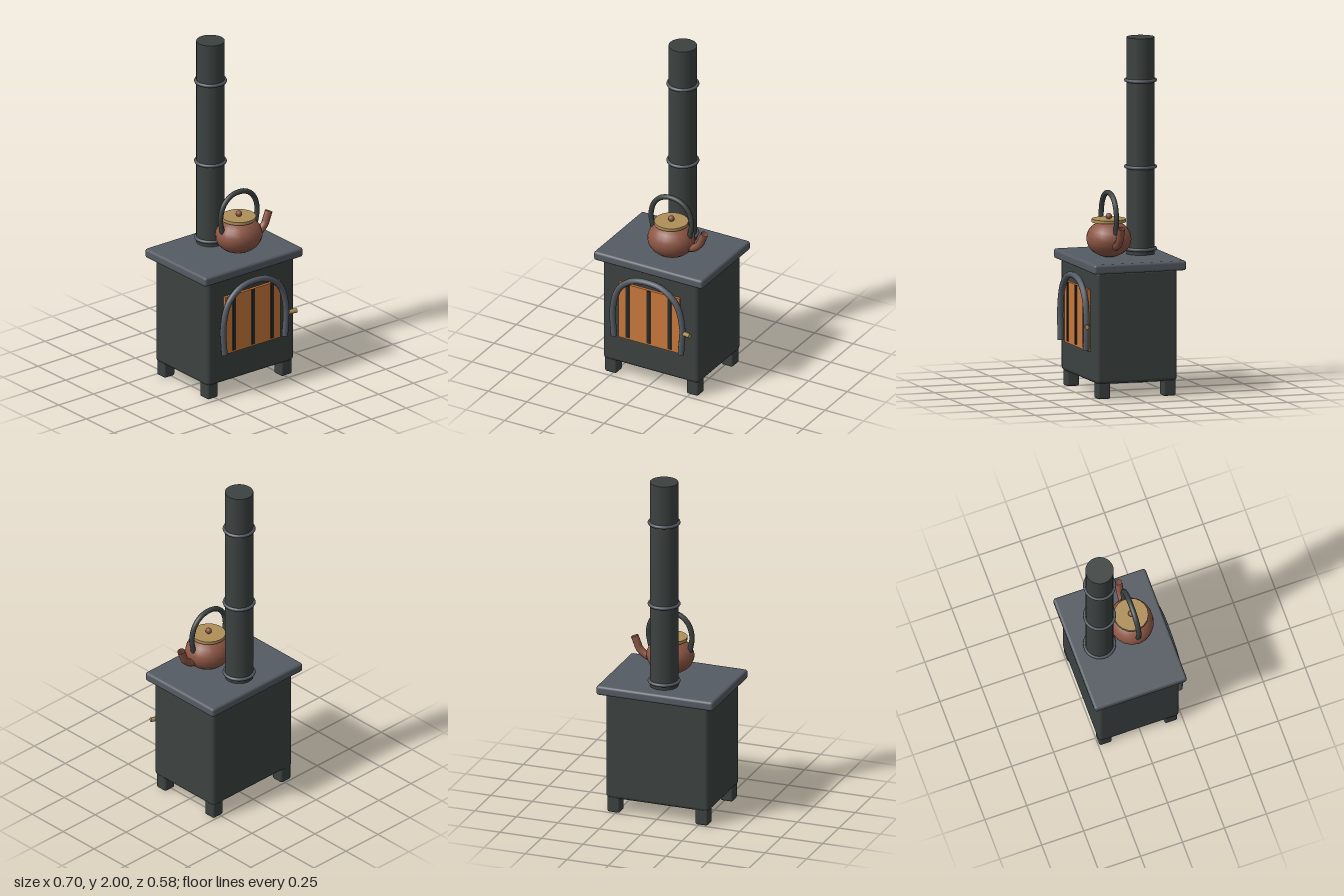
import * as THREE from 'three';
import { RoundedBoxGeometry } from 'three/addons/geometries/RoundedBoxGeometry.js';

const mat = (name, color, side = THREE.FrontSide) => {
  const m = new THREE.MeshStandardMaterial({ color, side });
  m.name = name;
  return m;
};

export function createModel() {
  const iron = mat('dark iron', 0x3c4241);
  const steel = mat('grey steel', 0x555b63);
  const black = mat('black bars', 0x262b2a);
  const ember = mat('ember orange', 0xc8783c);
  const brass = mat('brass', 0xae8f58);
  const copper = mat('copper', 0x8c5645, THREE.DoubleSide);

  const model = new THREE.Group();
  model.name = 'stoveWithKettle';
  const add = (parent, name, geometry, material, x = 0, y = 0, z = 0) => {
    const mesh = new THREE.Mesh(geometry, material);
    mesh.name = name;
    mesh.position.set(x, y, z);
    parent.add(mesh);
    return mesh;
  };
  const group = (name, x = 0, y = 0, z = 0) => {
    const g = new THREE.Group();
    g.name = name;
    g.position.set(x, y, z);
    model.add(g);
    return g;
  };
  const curve = (pts) => new THREE.CatmullRomCurve3(pts.map(([x, y]) => new THREE.Vector3(x, y, 0)));

  // A round bar along a path, closed with flat discs
  const bar = (parent, name, pts, radius, material, z = 0) => {
    const path = curve(pts);
    add(parent, name, new THREE.TubeGeometry(path, 36, radius, 10), material, 0, 0, z);
    for (const t of [0, 1]) {
      const p = path.getPointAt(t);
      const dir = path.getTangentAt(t).multiplyScalar(t ? 1 : -1);
      const cap = add(parent, name + 'End', new THREE.CircleGeometry(radius, 10), material, p.x, p.y, z);
      cap.quaternion.setFromUnitVectors(new THREE.Vector3(0, 0, 1), dir);
    }
  };

  // Firebox, top plate and feet
  add(model, 'firebox', new RoundedBoxGeometry(0.62, 0.64, 0.48, 2, 0.022), iron, 0, 0.405, -0.01);
  add(model, 'topPlate', new RoundedBoxGeometry(0.705, 0.055, 0.55, 2, 0.015), steel, 0, 0.743, -0.015);
  for (const x of [-0.265, 0.265]) {
    for (const z of [0.183, -0.207]) {
      add(model, 'foot', new RoundedBoxGeometry(0.075, 0.12, 0.075, 2, 0.012), iron, x, 0.06, z);
    }
  }

  // Door: glowing panel, bars, arched frame and latch
  const door = group('door');
  add(door, 'glowPanel', new THREE.BoxGeometry(0.395, 0.35, 0.02), ember, 0, 0.435, 0.236);
  for (const x of [-0.137, 0, 0.137]) {
    add(door, 'grateBar', new THREE.BoxGeometry(0.022, 0.335, 0.014), black, x, 0.44, 0.245);
  }
  bar(door, 'archFrame', [
    [-0.217, 0.27], [-0.224, 0.45], [-0.185, 0.58], [-0.1, 0.65], [0, 0.667],
    [0.1, 0.65], [0.185, 0.58], [0.224, 0.45], [0.217, 0.27],
  ], 0.018, steel, 0.262);
  const latch = add(door, 'latch', new THREE.CylinderGeometry(0.013, 0.013, 0.06, 8), brass, 0.258, 0.41, 0.272);
  latch.quaternion.setFromUnitVectors(
    new THREE.Vector3(0, 1, 0), new THREE.Vector3(0.94, 0.08, 0.3).normalize());

  // Flue with collars
  const flue = group('flue', 0, 0, -0.137);
  add(flue, 'fluePipe', new THREE.CylinderGeometry(0.08, 0.08, 1.24, 28), iron, 0, 1.38, 0);
  for (const y of [0.8, 1.265, 1.756]) {
    add(flue, 'flueCollar', new THREE.TorusGeometry(0.083, 0.01, 8, 32), steel, 0, y, 0).rotation.x = Math.PI / 2;
  }

  // Kettle
  const kettle = group('kettle', 0.042, 0, 0.066);
  add(kettle, 'kettleBody', new THREE.SphereGeometry(0.138, 18, 14), copper, 0, 0.872, 0).scale.set(1, 0.76, 0.92);
  add(kettle, 'kettleLid', new THREE.CylinderGeometry(0.097, 0.097, 0.018, 18), brass, 0, 0.975, 0);
  add(kettle, 'lidKnob', new THREE.SphereGeometry(0.018, 10, 8), copper, 0, 0.998, 0);
  const spout = curve([[0.09, 0.835], [0.145, 0.85], [0.185, 0.885], [0.2, 0.92], [0.215, 0.957]]);
  add(kettle, 'kettleSpout', new THREE.TubeGeometry(spout, 18, 0.022, 10), copper);
  bar(kettle, 'kettleHandle', [
    [-0.118, 0.91], [-0.131, 1.0], [-0.108, 1.075], [-0.06, 1.118], [0, 1.131],
    [0.06, 1.118], [0.108, 1.075], [0.131, 1.0], [0.118, 0.91],
  ], 0.015, iron);

  return model;
}
